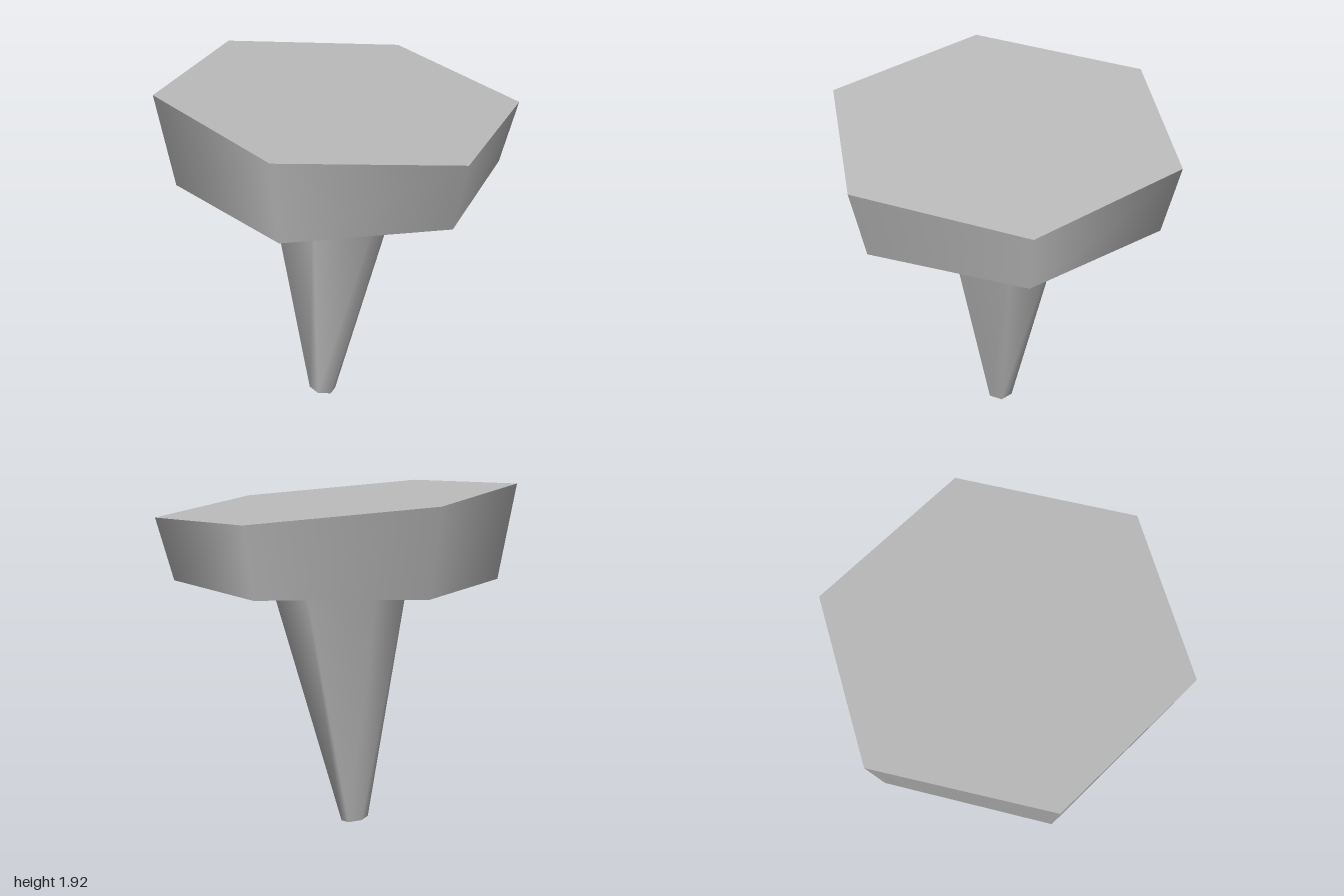
import * as THREE from 'three';

// Hexagonal frustum with corners on the x axis; each end ring may lean with x.
function hexFrustum(top, bottom) {
  const geo = new THREE.CylinderGeometry(top.radius, bottom.radius, 1, 6, 1, false, Math.PI / 2);
  // Smooth side normals follow the taper of the real height
  const slope = (bottom.radius - top.radius) / (top.y - bottom.y);
  const pos = geo.attributes.position;
  const normal = geo.attributes.normal;
  const n = new THREE.Vector3();
  for (let i = 0; i < pos.count; i++) {
    const end = pos.getY(i) > 0 ? top : bottom;
    const x = pos.getX(i);
    pos.setXYZ(i, x + end.x, end.y + end.tilt * x, pos.getZ(i));
    n.fromBufferAttribute(normal, i);
    if (Math.abs(n.y) > 0.99) {
      n.set(-end.tilt * Math.sign(n.y), Math.sign(n.y), 0).normalize();
    } else {
      n.y = 0;
      n.normalize();
      // The sideways offset between the two ends also leans the normal
      n.y = slope - (n.x * (top.x - bottom.x)) / (top.y - bottom.y);
      n.normalize();
    }
    normal.setXYZ(i, n.x, n.y, n.z);
  }
  return geo;
}

export function createModel() {
  const group = new THREE.Group();
  const grey = new THREE.MeshStandardMaterial({ color: 0xbcbcbc });
  grey.name = 'plain grey';

  // Wide head with a sloping top
  const head = new THREE.Mesh(hexFrustum(
    { x: 0, y: 1.83, radius: 1, tilt: -0.091 },
    { x: 0, y: 1.39, radius: 0.9, tilt: 0 },
  ), grey);
  head.name = 'head';

  // Leaning spike with a slanted blunt tip
  const spike = new THREE.Mesh(hexFrustum(
    { x: -0.015, y: 1.39, radius: 0.385, tilt: 0 },
    { x: -0.105, y: 0.014, radius: 0.075, tilt: -0.17 },
  ), grey);
  spike.name = 'spike';

  group.add(head, spike);
  return group;
}
